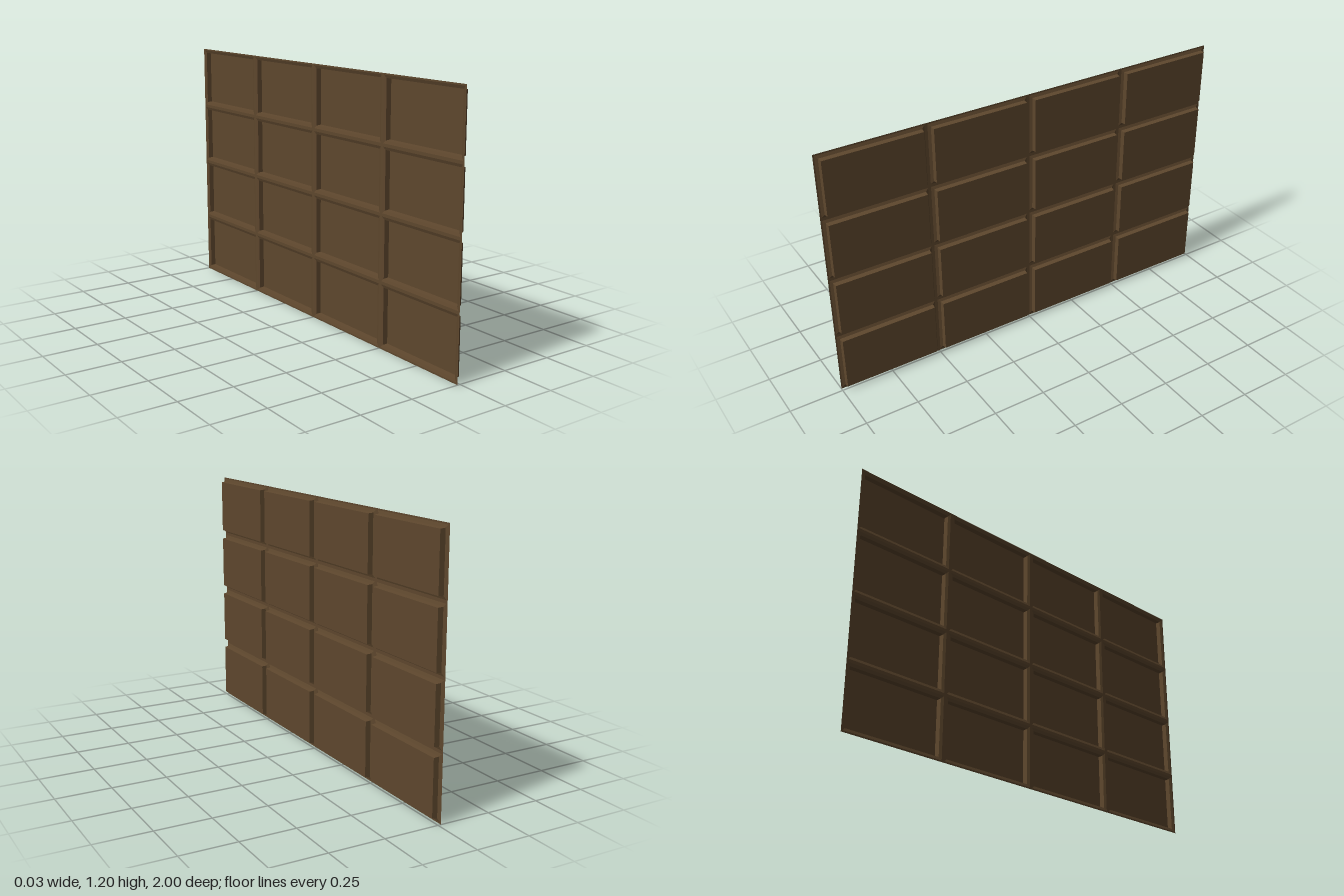
import * as THREE from 'three';

const ROWS = 4, COLS = 4;
const CELL_Z = 0.5, CELL_Y = 0.3;

// Inset from the cell border and height along x: flat groove, sloped lip, steep wall
const PROFILE = [[0, -0.0135], [0.007, -0.0135], [0.02, -0.009], [0.0225, 0.0135]];

// One pressed cell: rectangular rings stepping inwards, closed by a flat face
function cellGeometry() {
  const pos = [], index = [];
  for (const [inset, x] of PROFILE) {
    const z = CELL_Z / 2 - inset, y = CELL_Y / 2 - inset;
    pos.push(x, -y, z, x, -y, -z, x, y, -z, x, y, z);
  }
  const last = (PROFILE.length - 1) * 4;
  for (let r = 0; r < last; r += 4) {
    for (let i = 0; i < 4; i++) {
      const j = (i + 1) % 4;
      index.push(r + i, r + j, r + 4 + j, r + i, r + 4 + j, r + 4 + i);
    }
  }
  index.push(last, last + 1, last + 2, last, last + 2, last + 3);
  const geo = new THREE.BufferGeometry();
  geo.setAttribute('position', new THREE.Float32BufferAttribute(pos, 3));
  geo.setIndex(index);
  const flat = geo.toNonIndexed();
  flat.computeVertexNormals();
  return flat;
}

export function createModel() {
  const group = new THREE.Group();
  group.name = 'panelledDoor';
  const brown = new THREE.MeshStandardMaterial({ color: 0x5e472d, side: THREE.DoubleSide, flatShading: true });
  brown.name = 'brown';

  // Grid of raised panels sharing the thin sheet at their borders
  const geo = cellGeometry();
  for (let r = 0; r < ROWS; r++) {
    for (let c = 0; c < COLS; c++) {
      const panel = new THREE.Mesh(geo, brown);
      panel.name = `panelRow${r + 1}Column${c + 1}`;
      panel.position.set(0, (r + 0.5) * CELL_Y, (c + 0.5 - COLS / 2) * CELL_Z);
      group.add(panel);
    }
  }
  return group;
}
